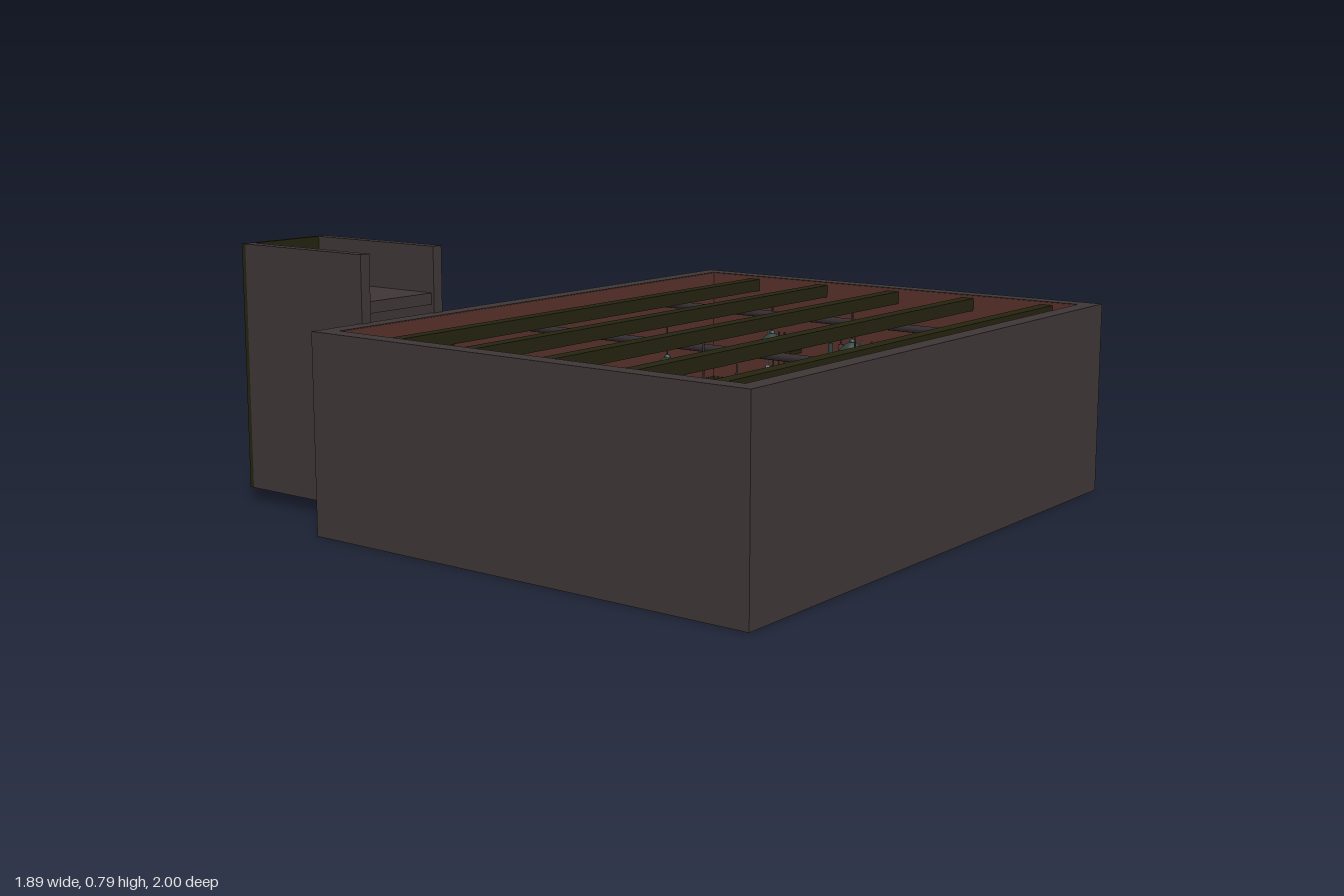
import * as THREE from 'three';

const mat = (name, color, side = THREE.FrontSide) => {
  const m = new THREE.MeshStandardMaterial({ color, side });
  m.name = name;
  return m;
};

export function createModel() {
  const root = new THREE.Group();
  root.name = 'barRoom';
  const concrete = mat('concrete', 0x3e3636);
  const wood = mat('darkOliveWood', 0x252410);
  const brick = mat('redBrick', 0x58302a);
  const redWood = mat('redWood', 0x60352d);
  const pale = mat('paleFloor', 0xa4a8ad);
  const metal = mat('darkMetal', 0x342c30);
  const shade = mat('greenLampShade', 0x2e403c, THREE.DoubleSide);
  const glass = mat('paleMetal', 0x8a929c);

  const add = (name, geo, m, x = 0, y = 0, z = 0, parent = root) => {
    const mesh = new THREE.Mesh(geo, m);
    mesh.name = name;
    mesh.position.set(x, y, z);
    parent.add(mesh);
    return mesh;
  };
  // Box given by its extents
  const box = (name, m, x0, x1, y0, y1, z0, z1, parent = root) =>
    add(name, new THREE.BoxGeometry(x1 - x0, y1 - y0, z1 - z0), m,
      (x0 + x1) / 2, (y0 + y1) / 2, (z0 + z1) / 2, parent);
  const rod = (name, m, r, h, x, y, z, parent = root, sides = 10) =>
    add(name, new THREE.CylinderGeometry(r, r, h, sides), m, x, y, z, parent);
  const group = (name, x = 0, y = 0, z = 0) => {
    const g = new THREE.Group();
    g.name = name;
    g.position.set(x, y, z);
    root.add(g);
    return g;
  };

  const X = 0.945, IX = 0.89, H = 0.59, F = 0.07;

  // Outer shell
  box('base', concrete, -X, X, 0, 0.055, -0.5, 1);
  box('floor', wood, -IX, IX, 0.055, F, -0.445, 0.945);
  for (const s of [-1, 1]) {
    box('sideWall', concrete, s < 0 ? -X : IX, s < 0 ? -IX : X, 0.055, H, -0.5, 1);
  }
  box('backWall', concrete, -IX, IX, 0.055, H, -0.5, -0.445);
  box('frontWall', concrete, -IX, IX, 0.055, H, 0.945, 1);

  // Brick lining with a timber wainscot
  const lining = (name, m, t, y0, y1) => {
    box(name, m, -IX, -IX + t, y0, y1, -0.445, 0.945);
    box(name, m, IX - t, IX, y0, y1, -0.445, 0.945);
    box(name, m, -IX + t, IX - t, y0, y1, -0.445, -0.445 + t);
    box(name, m, -IX + t, IX - t, y0, y1, 0.945 - t, 0.945);
  };
  lining('brickLining', brick, 0.003, F, H - 0.002);
  lining('wainscot', wood, 0.006, F, 0.22);

  // Pale floor area with its cut corner
  const outline = [[-0.6, -0.21], [0.59, -0.21], [0.59, 0.71], [0, 0.71],
    [-0.3, 0.48], [-0.3, 0.71], [-0.6, 0.71]];
  const floorShape = new THREE.Shape(outline.map(([x, z]) => new THREE.Vector2(x, -z)));
  add('paleFloorArea', new THREE.ShapeGeometry(floorShape).rotateX(-Math.PI / 2), pale, 0, F + 0.004, 0);

  // Ceiling beams and the pipes beneath them
  for (let i = 0; i < 5; i++) {
    const z = -0.267 + i * 0.277;
    box('ceilingBeam', wood, -IX, IX, 0.54, 0.58, z - 0.021, z + 0.021);
  }
  for (const x of [-0.18, 0.51]) {
    rod('ceilingPipe', metal, 0.012, 1.39, x, 0.525, 0.25).rotation.x = Math.PI / 2;
  }

  // Hanging lamps
  const shadeProfile = [[0.008, 0.045], [0.02, 0.038], [0.04, 0.02], [0.05, 0]]
    .map(([r, y]) => new THREE.Vector2(r, y));
  const lamps = [[0.04, 0], [-0.33, 0.41], [0.25, 0.54], [-0.58, 0.7], [0.65, -0.03], [0.65, 0.28]];
  for (const [x, z] of lamps) {
    const lamp = group('hangingLamp', x, 0.395, z);
    add('lampShade', new THREE.LatheGeometry(shadeProfile, 12), shade, 0, 0, 0, lamp);
    add('lampCap', new THREE.SphereGeometry(0.01, 8, 6), shade, 0, 0.045, 0, lamp);
    add('bulb', new THREE.SphereGeometry(0.014, 10, 8), glass, 0, 0.012, 0, lamp);
    rod('lampCord', metal, 0.003, 0.13, 0, 0.11, 0, lamp, 6);
  }

  // Bar counter with a small tap
  const bar = group('barCounter');
  box('counterBody', redWood, 0.65, 0.745, F, 0.205, -0.2, 0.435, bar);
  box('counterTop', redWood, 0.632, 0.757, 0.205, 0.22, -0.215, 0.45, bar);
  box('tapBase', wood, 0.66, 0.725, 0.22, 0.225, 0.37, 0.435, bar);
  add('tapBody', new THREE.CylinderGeometry(0.018, 0.035, 0.035, 12), redWood, 0.675, 0.242, 0.385, bar);
  rod('tapHandle', redWood, 0.008, 0.03, 0.69, 0.27, 0.36, bar);

  // Bar stools
  for (const z of [-0.12, 0.06, 0.235, 0.413]) {
    const stool = group('barStool', 0.55, 0, z);
    rod('stoolSeat', redWood, 0.036, 0.015, 0, 0.165, 0, stool, 16);
    rod('stoolPost', metal, 0.007, 0.09, 0, 0.115, 0, stool);
    rod('stoolFoot', metal, 0.025, 0.008, 0, F + 0.004, 0, stool, 16);
  }

  // Bottle shelves on the side wall
  const colours = [glass, shade, redWood, metal];
  for (let k = 0; k < 3; k++) {
    const z0 = -0.2 + k * 0.255, z1 = z0 + 0.13 + (k === 1 ? 0.07 : 0);
    const shelf = group('bottleShelf');
    for (const y of [0.24, 0.34]) {
      box('shelfBoard', wood, 0.82, IX, y, y + 0.012, z0, z1, shelf);
      for (let i = 0; i < 5; i++) {
        const z = z0 + 0.02 + i * (z1 - z0 - 0.04) / 4, m = colours[(i + k) % 4];
        rod('bottle', m, 0.008, 0.04, 0.845, y + 0.032, z, shelf, 8);
        rod('bottleNeck', m, 0.003, 0.02, 0.845, y + 0.062, z, shelf, 6);
      }
    }
  }

  // Cue rack on the front wall
  const rack = group('cueRack');
  for (const y of [0.25, 0.4]) box('rackRail', wood, 0.16, 0.585, y, y + 0.025, 0.91, 0.94, rack);
  for (let i = 0; i < 6; i++) rod('cue', glass, 0.004, 0.23, 0.2 + i * 0.068, 0.35, 0.905, rack, 6);

  // Small wall lights
  for (const [x, z, dx, dz] of [[-0.86, 0.05, -1, 0], [0.85, 0.625, 1, 0], [-0.045, 0.905, 0, 1]]) {
    const light = group('wallLight', x, 0.4, z);
    add('lightGlobe', new THREE.SphereGeometry(0.015, 10, 8), glass, 0, 0, 0, light);
    box('lightBracket', metal, -0.008 + Math.min(dx, 0) * 0.022, 0.008 + Math.max(dx, 0) * 0.022,
      -0.025, -0.012, -0.008, 0.008 + dz * 0.022, light);
  }

  // Doorway inside the back wall
  box('door', concrete, -0.735, -0.455, F, 0.49, -0.445, -0.437);
  for (const x of [-0.75, -0.455]) box('doorPost', wood, x, x + 0.015, F, 0.505, -0.445, -0.433);
  box('doorLintel', wood, -0.735, -0.455, 0.49, 0.505, -0.445, -0.433);

  // Rear shaft, open at the top
  const shaft = group('rearShaft');
  box('shaftWall', concrete, -0.76, -0.725, 0.04, 0.79, -0.985, -0.49, shaft);
  box('shaftWall', concrete, -0.465, -0.43, 0.04, 0.79, -0.985, -0.49, shaft);
  box('shaftBack', wood, -0.76, -0.43, 0.04, 0.79, -1, -0.985, shaft);
  box('shaftLanding', concrete, -0.725, -0.465, 0.615, 0.65, -0.985, -0.5, shaft);
  box('shaftBottom', wood, -0.725, -0.465, 0.07, 0.09, -0.985, -0.5, shaft);

  return root;
}
